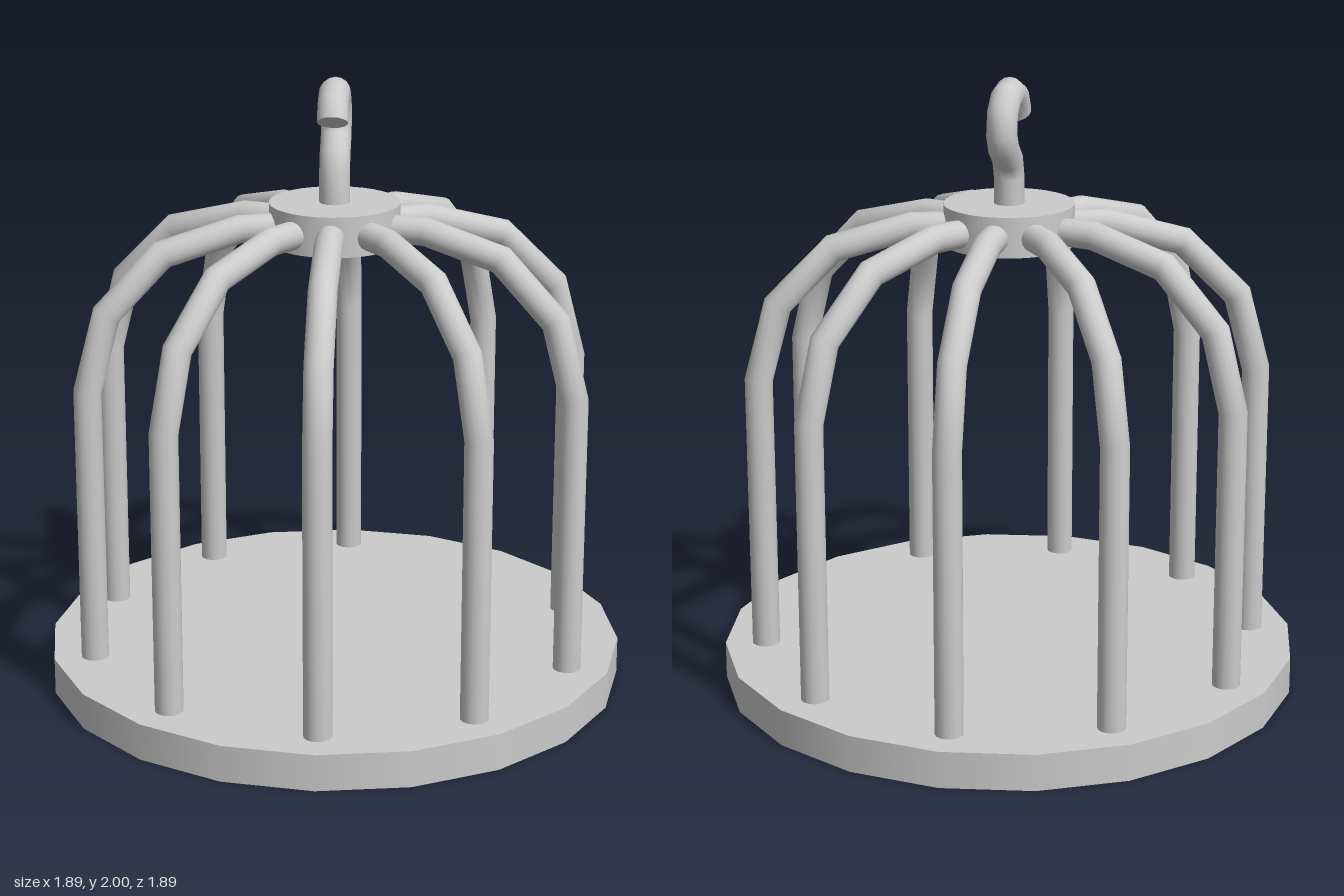
import * as THREE from 'three';

const material = new THREE.MeshStandardMaterial({ color: 0xcccccc });

function mesh(name, geometry, y = 0) {
  const m = new THREE.Mesh(geometry, material);
  m.name = name;
  m.position.y = y;
  return m;
}

// Round bar with mitred joints along a path of [z, y] points in the x = 0 plane, closed at both ends
function bar(path, radius, sides = 16) {
  const pts = path.map(([z, y]) => new THREE.Vector3(0, y, z));
  const last = pts.length - 1;
  const dir = (i) => pts[i + 1].clone().sub(pts[i]).normalize();
  const pos = [], index = [];
  const addRing = (i) => {
    const before = dir(Math.max(i - 1, 0)), after = dir(Math.min(i, last - 1));
    const t = before.clone().add(after).normalize();
    const mitre = radius / t.dot(after);
    for (let k = 0; k < sides; k++) {
      const a = (k / sides) * Math.PI * 2, s = Math.sin(a) * mitre;
      pos.push(Math.cos(a) * radius, pts[i].y + s * t.z, pts[i].z - s * t.y);
    }
  };
  // Walls
  for (let i = 0; i <= last; i++) addRing(i);
  for (let i = 0; i < last; i++) {
    for (let k = 0; k < sides; k++) {
      const n = (k + 1) % sides, a = i * sides, b = a + sides;
      index.push(a + k, a + n, b + k, a + n, b + n, b + k);
    }
  }
  // End discs
  for (const i of [0, last]) {
    const a = pos.length / 3;
    addRing(i);
    pos.push(pts[i].x, pts[i].y, pts[i].z);
    for (let k = 0; k < sides; k++) {
      const n = (k + 1) % sides;
      if (i === 0) index.push(a + sides, a + n, a + k);
      else index.push(a + sides, a + k, a + n);
    }
  }
  const g = new THREE.BufferGeometry();
  g.setAttribute('position', new THREE.Float32BufferAttribute(pos, 3));
  g.setIndex(index);
  g.computeVertexNormals();
  return g;
}

export function createModel() {
  const group = new THREE.Group();

  // Base plate and top hub
  group.add(mesh('base', new THREE.CylinderGeometry(0.945, 0.945, 0.12, 20), 0.06));
  group.add(mesh('hub', new THREE.CylinderGeometry(0.21, 0.21, 0.13, 32), 1.535));

  // Ten cage bars: upright, quarter arc in three steps, then level into the hub
  const path = [[0.81, 0.1]];
  for (let i = 0; i <= 3; i++) {
    const a = (i * Math.PI) / 6;
    path.push([0.31 + 0.5 * Math.cos(a), 1.03 + 0.5 * Math.sin(a)]);
  }
  path.push([0.12, 1.53]);
  const barGeometry = bar(path, 0.045);
  const bars = new THREE.Group();
  bars.name = 'cageBars';
  for (let i = 0; i < 10; i++) {
    const b = mesh('cageBar', barGeometry);
    b.rotation.y = (i * Math.PI) / 5;
    bars.add(b);
  }
  group.add(bars);

  // Hanging hook, curling towards the front
  const hook = [
    [0, 1.58], [0, 1.69], [-0.02, 1.745], [-0.075, 1.79], [-0.102, 1.84],
    [-0.09, 1.905], [-0.045, 1.943], [0.01, 1.951], [0.068, 1.928], [0.1, 1.877],
  ];
  group.add(mesh('hook', bar(hook, 0.049)));

  return group;
}
